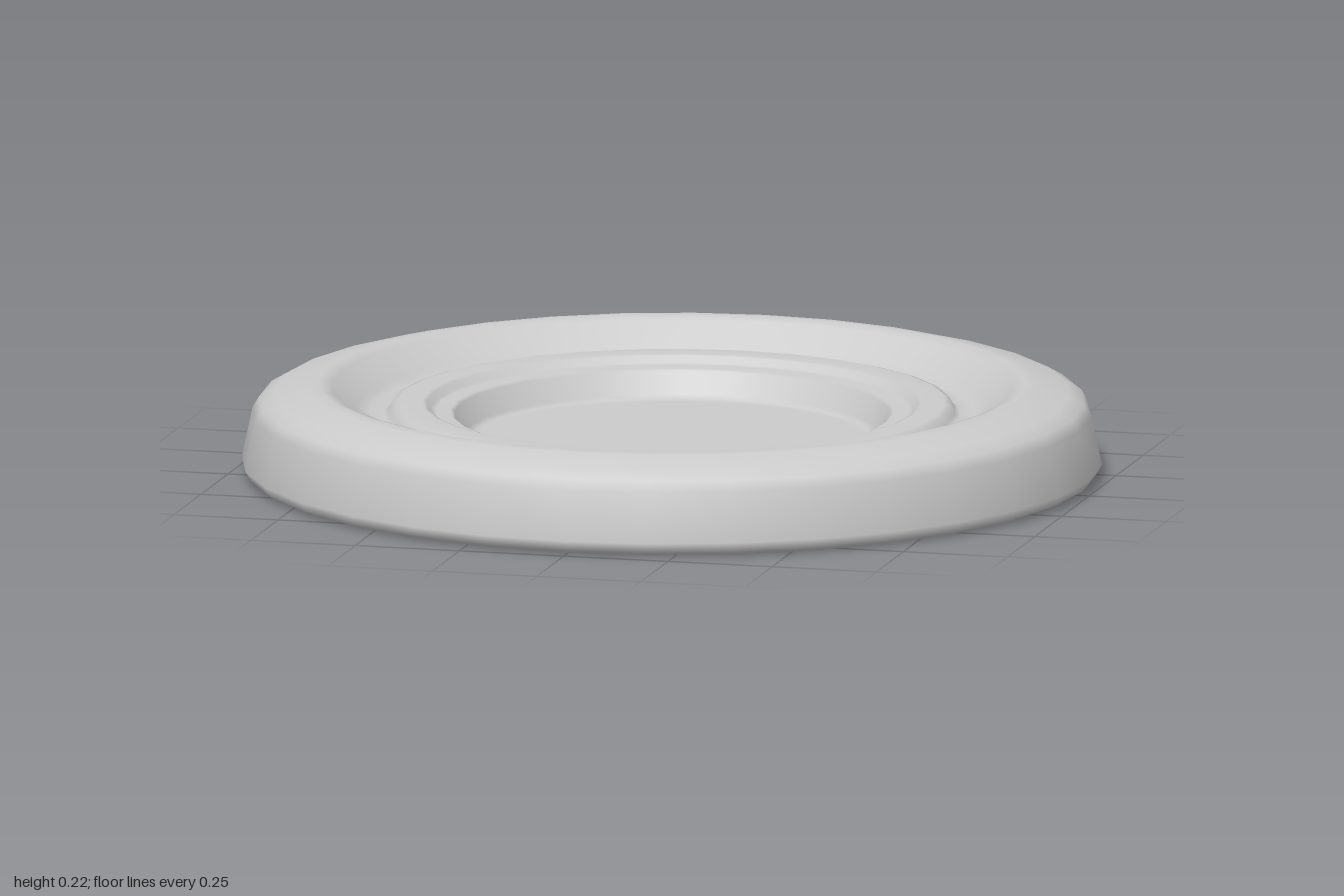
import * as THREE from 'three';

const SIDES = 32;

// Thin turned shell, revolved from [radius, height] points, outside to inside
function turned(name, profile, material) {
  const points = profile.map(([r, y]) => new THREE.Vector2(r, y));
  const mesh = new THREE.Mesh(new THREE.LatheGeometry(points, SIDES), material);
  mesh.name = name;
  return mesh;
}

export function createModel() {
  const group = new THREE.Group();
  group.name = 'dish';
  const material = new THREE.MeshStandardMaterial({ color: 0xcccccc, side: THREE.DoubleSide });

  group.add(turned('dishShell', [
    // turned-in foot and outer wall
    [0.96, 0], [0.985, 0.01], [1, 0.035], [0.975, 0.15], [0.96, 0.175],
    // rounded rim
    [0.925, 0.195], [0.85, 0.215], [0.82, 0.218], [0.79, 0.21],
    // groove inside the rim
    [0.735, 0.155], [0.705, 0.143], [0.67, 0.143],
    // raised ring
    [0.658, 0.152], [0.65, 0.168], [0.635, 0.172], [0.58, 0.172], [0.57, 0.169],
    // lower ledge
    [0.56, 0.154], [0.55, 0.151], [0.515, 0.15], [0.505, 0.146],
    // well wall and floor
    [0.48, 0.095], [0.468, 0.087], [0.45, 0.085], [0, 0.085],
  ], material));

  return group;
}
